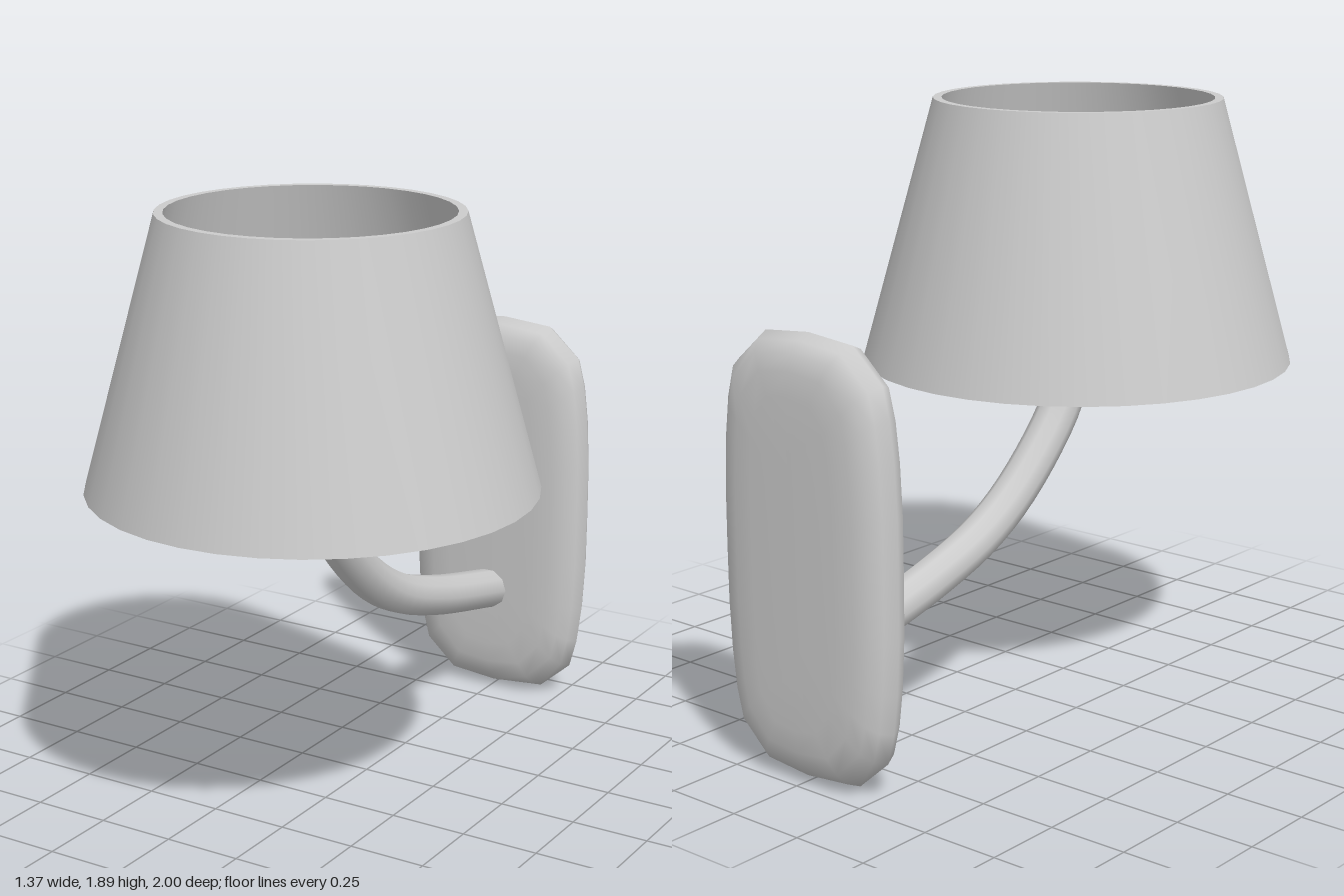
import * as THREE from 'three';
import { toCreasedNormals } from 'three/addons/utils/BufferGeometryUtils.js';

const material = new THREE.MeshStandardMaterial({ color: 0xcccccc });
const SHADE_Z = 0.31;

function addPart(group, name, geometry) {
  const mesh = new THREE.Mesh(geometry, material);
  mesh.name = name;
  group.add(mesh);
  return mesh;
}

// Rounded plate: one outline, inset ring by ring from the front face to the back
function backplateGeometry(halfW, halfH) {
  const quarter = [[0.33, 0], [0.329, 0.18], [0.32, 0.34], [0.305, 0.46], [0.28, 0.555], [0.17, 0.652], [0, 0.6675]];
  const top = [...quarter, ...quarter.slice(0, -1).reverse().map(([x, y]) => [-x, y])];
  const outline = [...top, ...top.slice(1, -1).reverse().map(([x, y]) => [x, -y])];
  const front = [[0.33, 0.09], [0.17, 0.09], [0.1, 0.083], [0.05, 0.07], [0.018, 0.042]];
  const profile = [...front, [0, 0], ...front.slice().reverse().map(([d, z]) => [d, -z])];
  const n = outline.length;
  const positions = [];
  const index = [];
  profile.forEach(([inset, z], r) => {
    for (const [x, y] of outline) {
      positions.push(x * (halfW - inset) / halfW, y * (halfH - inset) / halfH, z);
    }
    if (r === 0) return;
    for (let i = 0; i < n; i++) {
      const a = (r - 1) * n + i, b = (r - 1) * n + (i + 1) % n;
      index.push(a, a + n, b, b, a + n, b + n);
    }
  });
  const geometry = new THREE.BufferGeometry();
  geometry.setAttribute('position', new THREE.Float32BufferAttribute(positions, 3));
  geometry.setIndex(index);
  geometry.computeVertexNormals();
  return geometry;
}

export function createModel() {
  const group = new THREE.Group();
  group.name = 'wallLamp';

  // Wall plate
  addPart(group, 'backplate', backplateGeometry(0.33, 0.6675)).position.set(0, 0.6675, -0.91);

  // Curved arm from the plate up into the shade
  const path = new THREE.CatmullRomCurve3([
    [0.37, -0.85], [0.475, -0.42], [0.565, -0.17], [0.68, 0.01],
    [0.87, 0.2], [0.97, 0.26], [1.06, 0.288], [1.12, 0.295],
  ].map(([y, z]) => new THREE.Vector3(0, y, z)));
  addPart(group, 'arm', new THREE.TubeGeometry(path, 24, 0.068, 10));

  // Tapered shade with a thin wall, open top and closed floor
  const shadeProfile = [
    [0, 1.055], [0.687, 1.055], [0.457, 1.89], [0.43, 1.89], [0.655, 1.075], [0, 1.075],
  ].map(([r, y]) => new THREE.Vector2(r, y));
  const shade = toCreasedNormals(new THREE.LatheGeometry(shadeProfile, 36), 0.6);
  addPart(group, 'shade', shade).position.z = SHADE_Z;

  // Bulb on the shade floor
  addPart(group, 'bulb', new THREE.SphereGeometry(0.15, 10, 8)).position.set(0, 1.2, SHADE_Z - 0.005);

  return group;
}
